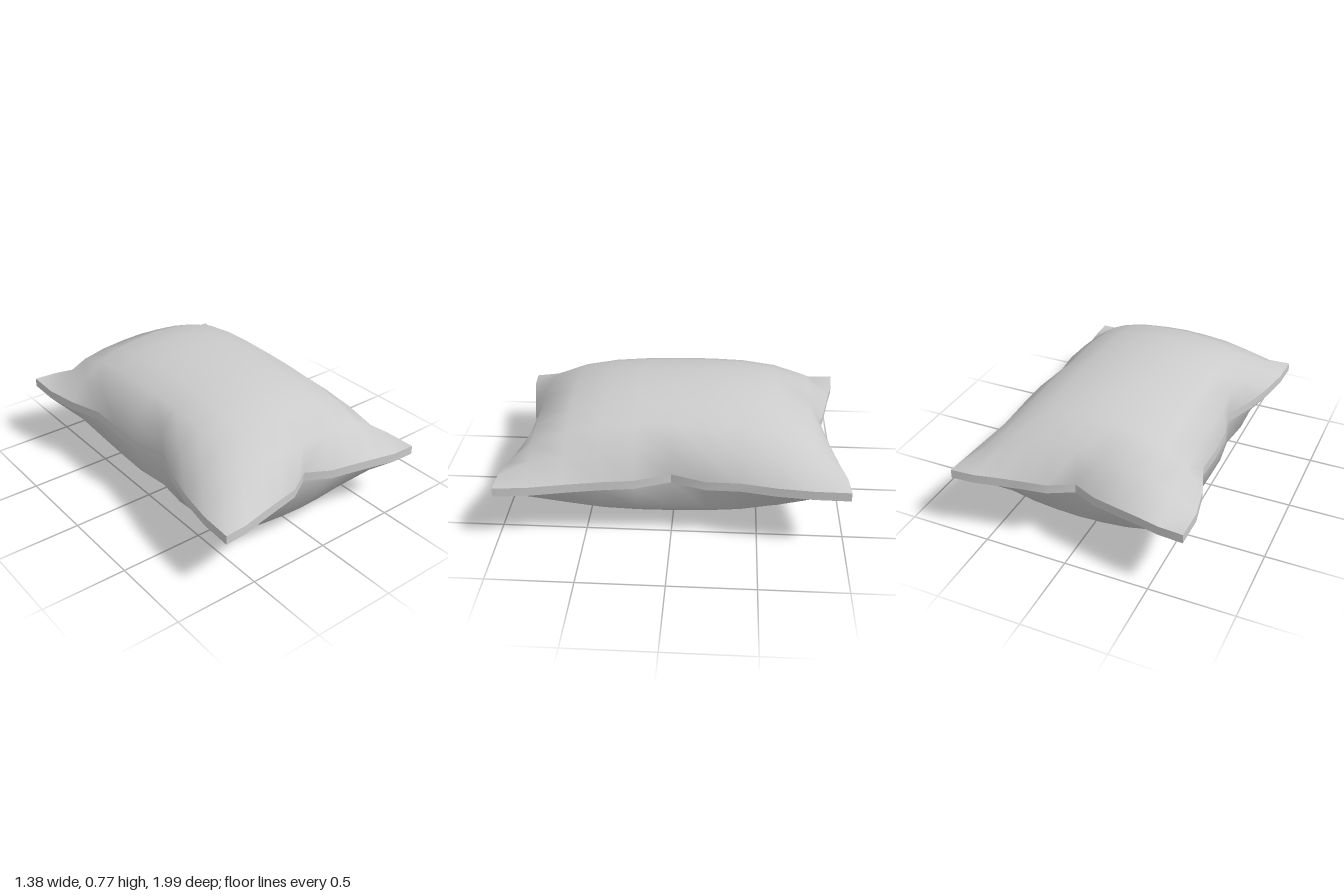
import * as THREE from 'three';
import { toCreasedNormals } from 'three/addons/utils/BufferGeometryUtils.js';

const N = 10; // cells along each side of the cloth
// Seam outline: side edges by row (back to front), end edges by column (left of plan to right)
const minusX = [-0.69, -0.69, -0.65, -0.58, -0.585, -0.575, -0.525, -0.60, -0.65, -0.68, -0.685];
const plusX = [0.69, 0.68, 0.655, 0.61, 0.60, 0.525, 0.595, 0.615, 0.645, 0.68, 0.69];
const backZ = [-0.995, -0.985, -0.957, -0.93, -0.90, -0.835, -0.91, -0.935, -0.962, -0.99, -1];
const frontZ = [0.99, 0.982, 0.955, 0.928, 0.90, 0.815, 0.89, 0.922, 0.955, 0.985, 0.99];
// Positions and puffiness from the middle outwards
const colX = [0, 0.14, 0.285, 0.425, 0.55, 0.69];
const puffX = [1, 0.97, 0.895, 0.74, 0.44, 0];
const puffZ = [1, 0.99, 0.945, 0.82, 0.55, 0];
const RIM = 0.027, PUFF = 0.358;

// Point of the upper (side = 1) or lower (side = -1) cloth at grid cell corner i, j
function clothPoint(i, j, side) {
  const a = Math.abs(i - 5), b = Math.abs(j - 5);
  let x = Math.sign(i - 5) * colX[a];
  let z = (j - 5) * 0.2;
  if (i === 0) x = minusX[j];
  else if (i === N) x = plusX[j];
  else x = THREE.MathUtils.clamp(x, minusX[j], plusX[j]);
  if (j === 0) z = backZ[i];
  else if (j === N) z = frontZ[i];
  const seamY = 0.385 - 0.025 * z;
  return new THREE.Vector3(x, seamY + side * (RIM + PUFF * puffX[a] * puffZ[b]), z);
}

// Puffed sheet of cloth
function sheet(side) {
  const geo = new THREE.PlaneGeometry(N, N, N, N).rotateX(-side * Math.PI / 2);
  const pos = geo.attributes.position;
  for (let k = 0; k < pos.count; k++) {
    const p = clothPoint(Math.round(pos.getX(k) + 5), Math.round(pos.getZ(k) + 5), side);
    pos.setXYZ(k, p.x, p.y, p.z);
  }
  geo.computeVertexNormals();
  return geo;
}

// Thin band joining the two sheets around the outline
function seamBand() {
  const loop = [];
  for (let k = 0; k < N; k++) loop.push([k, N]);
  for (let k = N; k > 0; k--) loop.push([N, k]);
  for (let k = N; k > 0; k--) loop.push([k, 0]);
  for (let k = 0; k < N; k++) loop.push([0, k]);
  const points = [], index = [];
  loop.forEach(([i, j], k) => {
    points.push(clothPoint(i, j, -1), clothPoint(i, j, 1));
    const a = 2 * k, b = 2 * ((k + 1) % loop.length);
    index.push(a, b, b + 1, a, b + 1, a + 1);
  });
  const geo = new THREE.BufferGeometry().setFromPoints(points);
  geo.setIndex(index);
  return toCreasedNormals(geo, Math.PI / 6);
}

export function createModel() {
  const group = new THREE.Group();
  group.name = 'pillow';
  const material = new THREE.MeshStandardMaterial({ color: 0xcccccc, side: THREE.DoubleSide });
  const add = (name, geo) => {
    const mesh = new THREE.Mesh(geo, material);
    mesh.name = name;
    group.add(mesh);
  };
  add('upperCloth', sheet(1));
  add('lowerCloth', sheet(-1));
  add('seamBand', seamBand());
  return group;
}
